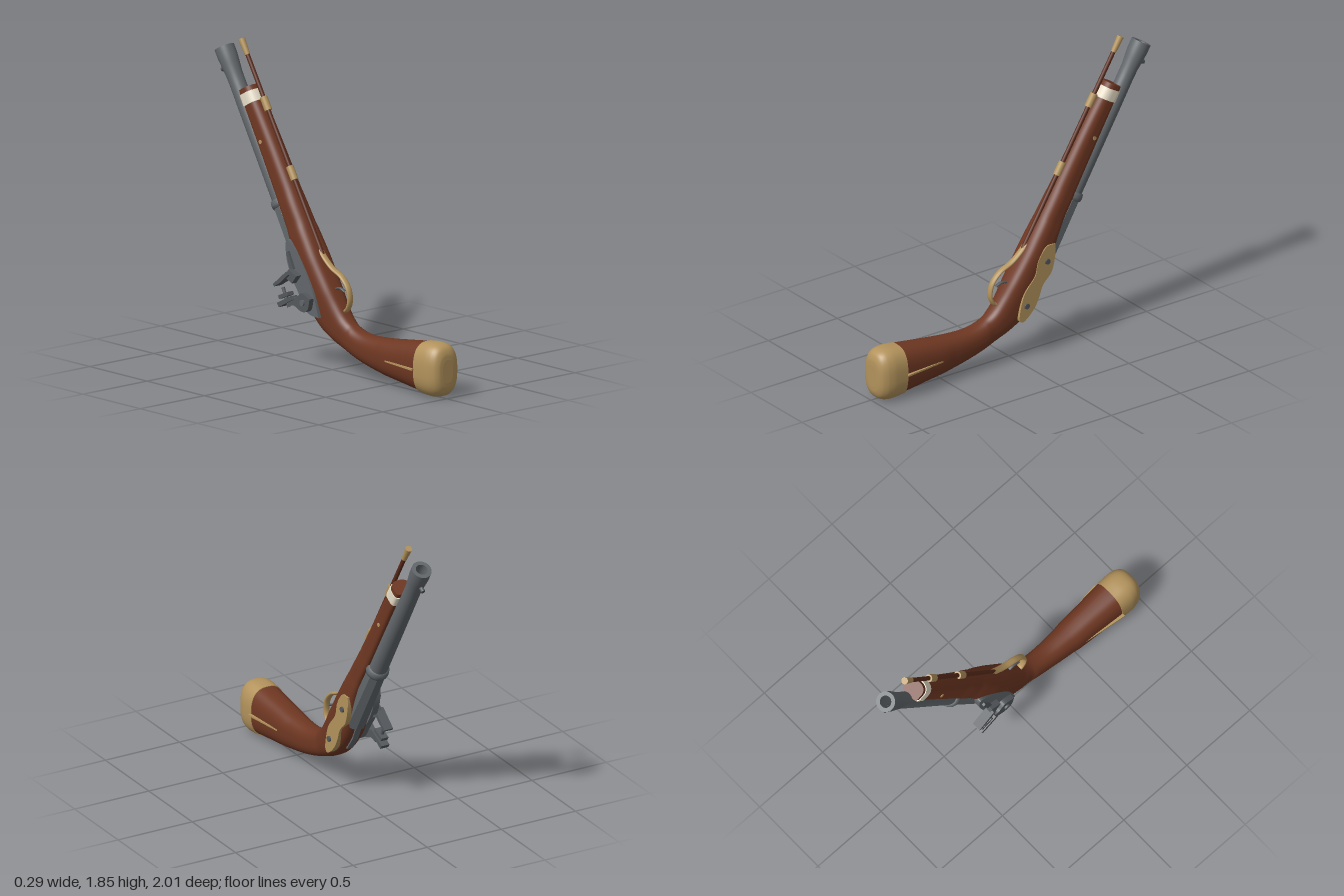
import * as THREE from 'three';

const CX = 0.01;            // centre plane of the stock
const TILT = -Math.PI / 6;  // barrel leans back 30 degrees

function material(name, color, double = false) {
  const m = new THREE.MeshStandardMaterial({ color });
  m.name = name;
  if (double) m.side = THREE.DoubleSide;
  return m;
}

// Point [z, y] from distance s along the barrel and n across it
const P = (s, n) => [-0.5 * s + 0.866 * n, 0.866 * s + 0.5 * n];

// Loft of rounded sections: [upper [z,y], lower [z,y], half width, upper exponent, lower exponent]
function loft(stations, steps, sides = 48) {
  const curve = f => new THREE.CatmullRomCurve3(stations.map(f));
  const up = curve(s => new THREE.Vector3(0, s[0][1], s[0][0]));
  const low = curve(s => new THREE.Vector3(0, s[1][1], s[1][0]));
  const form = curve(s => new THREE.Vector3(s[2], s[3], s[4]));
  const pos = [], idx = [];
  const power = (v, e) => Math.sign(v) * Math.pow(Math.abs(v), 2 / e);
  const ring = i => {
    const u = up.getPoint(i / steps), l = low.getPoint(i / steps), f = form.getPoint(i / steps);
    const c = u.clone().add(l).multiplyScalar(0.5), v = u.clone().sub(l).multiplyScalar(0.5);
    for (let j = 0; j < sides; j++) {
      const a = j / sides * Math.PI * 2, e = Math.sin(a) >= 0 ? f.y : f.z;
      const k = power(Math.sin(a), e);
      pos.push(CX + f.x * power(Math.cos(a), e), c.y + v.y * k, c.z + v.z * k);
    }
    return c;
  };
  for (let i = 0; i <= steps; i++) ring(i);
  for (let i = 0; i < steps; i++) for (let j = 0; j < sides; j++) {
    const j1 = (j + 1) % sides, a = i * sides + j, c = i * sides + j1;
    idx.push(a, a + sides, c, a + sides, c + sides, c);
  }
  // end caps with their own vertices
  for (const end of [0, steps]) {
    const start = pos.length / 3, c = ring(end), mid = pos.length / 3;
    pos.push(CX, c.y, c.z);
    for (let j = 0; j < sides; j++) {
      const a = start + j, b = start + (j + 1) % sides;
      idx.push(mid, ...(end === 0 ? [a, b] : [b, a]));
    }
  }
  const g = new THREE.BufferGeometry();
  g.setAttribute('position', new THREE.Float32BufferAttribute(pos, 3));
  g.setIndex(idx);
  g.computeVertexNormals();
  return g;
}

// Side plate from a [z, y] outline, running from x0 to x1
function plate(points, x0, x1, smooth = false) {
  const v = points.map(([z, y]) => new THREE.Vector2(-z, y));
  const shape = smooth
    ? new THREE.Shape(new THREE.SplineCurve([...v, v[0]]).getPoints(60))
    : new THREE.Shape(v);
  const g = new THREE.ExtrudeGeometry(shape, { depth: x1 - x0, bevelEnabled: false });
  return g.rotateY(Math.PI / 2).translate(x0, 0, 0);
}

function bentRod(points, radius, widen) {
  const path = new THREE.CatmullRomCurve3(points.map(([z, y]) => new THREE.Vector3(0, y, z)));
  return new THREE.TubeGeometry(path, 40, radius, 12).scale(widen, 1, 1).translate(CX, 0, 0);
}

export function createModel() {
  const model = new THREE.Group();
  model.name = 'flintlockPistol';
  const wood = material('wood', 0x6e3722);
  const rodWood = material('dark wood', 0x5c2c1b);
  const brass = material('brass', 0xb3935c);
  const steel = material('steel', 0x62676b, true);
  const lockSteel = material('lock steel', 0x54585c);
  const ivory = material('ivory', 0xe6ddc8);

  const add = (name, geometry, mat, parent = model) => {
    const m = new THREE.Mesh(geometry, mat);
    m.name = name;
    parent.add(m);
    return m;
  };

  // Stock from the butt round the bend to the fore-end
  add('stock', loft([
    [[0.83, 0.315], [0.83, 0.015], 0.111, 2.6, 2.6],
    [[0.65, 0.292], [0.65, 0.035], 0.099, 2.5, 2.5],
    [[0.46, 0.27], [0.46, 0.058], 0.084, 2.4, 2.4],
    [[0.30, 0.267], [0.28, 0.095], 0.071, 2.4, 2.4],
    [[0.20, 0.293], [0.17, 0.13], 0.067, 2.4, 2.4],
    [[0.14, 0.335], [0.03, 0.187], 0.07, 2.6, 2.6],
    [[0.08, 0.41], [-0.07, 0.25], 0.078, 2.8, 2.8],
    [P(0.42, 0.268), P(0.42, 0.035), 0.087, 3, 3],
    [P(0.58, 0.258), P(0.58, 0.05), 0.09, 3, 3.2],
    [P(0.70, 0.253), P(0.70, 0.08), 0.087, 2.7, 4],
    [P(0.85, 0.245), P(0.85, 0.1), 0.077, 2.4, 5],
    [P(1.05, 0.236), P(1.05, 0.1), 0.069, 2.3, 5],
    [P(1.40, 0.222), P(1.40, 0.1), 0.063, 2.3, 5],
    [P(1.72, 0.203), P(1.72, 0.1), 0.06, 2.3, 5],
  ], 91), wood);

  // Rounded brass butt cap
  const capRows = [[1, 0.07, 0.04], [0.996, 0.105, 0.066], [0.98, 0.137, 0.09],
    [0.95, 0.155, 0.107], [0.9, 0.161, 0.115], [0.82, 0.154, 0.114]];
  add('buttCap', loft(capRows.map(([z, h, w]) =>
    [[z, 0.163 + h], [z, 0.163 - h], w, 2.6, 2.6]), 30), brass);

  // Pale band near the fore-end tip
  add('foreEndBand', loft([
    [P(1.62, 0.215), P(1.62, 0.094), 0.066, 2.3, 5],
    [P(1.69, 0.211), P(1.69, 0.094), 0.065, 2.3, 5],
  ], 2), ivory);

  // Thin brass spurs along both sides of the butt
  for (const side of [-1, 1]) {
    const shape = new THREE.Shape([[0.06, -0.52], [0.09, -0.52], [0.13, -0.825], [0.06, -0.825]]
      .map(([x, y]) => new THREE.Vector2(side * x, y)));
    const g = new THREE.ExtrudeGeometry(shape, { depth: 0.01, bevelEnabled: false });
    add(side > 0 ? 'leftButtSpur' : 'rightButtSpur',
      g.rotateX(-Math.PI / 2).translate(CX, 0.157, 0), brass);
  }

  // Brass side plate with two screws
  add('sidePlate', plate([[-0.262, 0.69], [-0.198, 0.688], [-0.14, 0.61], [-0.115, 0.519],
    [-0.037, 0.422], [-0.002, 0.285], [-0.03, 0.25], [-0.10, 0.305], [-0.14, 0.37],
    [-0.172, 0.45], [-0.235, 0.52], [-0.262, 0.626]], 0.06, 0.104, true), brass);
  for (const [z, y] of [[-0.203, 0.594], [-0.053, 0.348]]) {
    add('sidePlateScrew', new THREE.CylinderGeometry(0.017, 0.019, 0.03, 16)
      .rotateZ(-Math.PI / 2).translate(0.099, y, z), lockSteel);
  }

  // Trigger guard and trigger
  add('triggerGuard', bentRod([[-0.13, 0.71], [-0.07, 0.65], [-0.01, 0.605], [0.075, 0.565],
    [0.13, 0.505], [0.143, 0.43], [0.12, 0.38], [0.07, 0.35]], 0.011, 1.9), brass);
  add('trigger', bentRod([[-0.02, 0.46], [0.02, 0.487], [0.06, 0.497], [0.1, 0.483]], 0.007, 1.6), lockSteel);

  // Lock on the right side: plate, pan, frizzen, cock and jaws
  const lock = new THREE.Group();
  lock.name = 'lock';
  model.add(lock);
  add('lockPlate', plate([[-0.02, 0.32], [-0.12, 0.34], [-0.2, 0.45], [-0.25, 0.52],
    [-0.295, 0.62], [-0.305, 0.72], [-0.28, 0.74], [-0.2, 0.66], [-0.12, 0.55],
    [-0.06, 0.44]], -0.092, -0.05, true), steel, lock);
  add('pan', plate([[-0.17, 0.55], [-0.21, 0.5], [-0.27, 0.53], [-0.24, 0.58]], -0.13, -0.07), lockSteel, lock);
  add('frizzen', plate([[-0.225, 0.55], [-0.24, 0.568], [-0.3, 0.52], [-0.355, 0.475],
    [-0.345, 0.462], [-0.29, 0.495]], -0.148, -0.09), lockSteel, lock);
  add('frizzenSpring', plate([[-0.22, 0.58], [-0.25, 0.575], [-0.285, 0.67], [-0.27, 0.68]],
    -0.108, -0.08), lockSteel, lock);
  add('cock', plate([[-0.06, 0.43], [-0.08, 0.36], [-0.13, 0.345], [-0.2, 0.37], [-0.25, 0.36],
    [-0.24, 0.41], [-0.18, 0.42], [-0.13, 0.455]], -0.125, -0.09, true), lockSteel, lock);
  add('lowerJaw', plate([[-0.2, 0.405], [-0.215, 0.425], [-0.33, 0.365], [-0.315, 0.342]],
    -0.138, -0.085), lockSteel, lock);
  add('upperJaw', plate([[-0.235, 0.425], [-0.245, 0.445], [-0.325, 0.41], [-0.315, 0.39]],
    -0.135, -0.088), lockSteel, lock);
  add('jawScrew', new THREE.CylinderGeometry(0.01, 0.01, 0.12, 12)
    .rotateX(-0.44).translate(-0.112, 0.405, -0.28), lockSteel, lock);
  add('cockScrew', new THREE.CylinderGeometry(0.018, 0.018, 0.02, 16)
    .rotateZ(Math.PI / 2).translate(-0.125, 0.4, -0.12), steel, lock);

  // Tang strip behind the breech
  add('tang', plate([[-0.258, 0.52], [-0.19, 0.378], [-0.125, 0.292], [-0.1, 0.31],
    [-0.18, 0.42], [-0.2, 0.53]], CX - 0.02, CX + 0.02), steel);

  // Everything lying along the barrel: y runs to the muzzle, z to the ramrod
  const fore = new THREE.Group();
  fore.name = 'barrelAssembly';
  fore.position.x = CX;
  fore.rotation.x = TILT;
  model.add(fore);

  const barrel = new THREE.Group();
  barrel.name = 'barrel';
  barrel.position.z = 0.095;
  barrel.rotation.x = -0.02;
  fore.add(barrel);
  const profile = [[0.055, 1.0], [0.053, 1.3], [0.051, 1.6], [0.049, 1.78], [0.05, 1.84],
    [0.056, 1.9], [0.06, 1.95], [0.06, 2.005]].map(p => new THREE.Vector2(...p));
  add('roundBarrel', new THREE.LatheGeometry(profile, 36), steel, barrel);
  const bore = [[0.06, 2.005], [0.036, 2.005]].map(p => new THREE.Vector2(...p));
  add('muzzleFace', new THREE.LatheGeometry(bore, 36), steel, barrel);
  add('bore', new THREE.LatheGeometry([[0.036, 2.005], [0.036, 1.75], [0, 1.75]]
    .map(p => new THREE.Vector2(...p)), 36), steel, barrel);
  add('barrelRing', new THREE.LatheGeometry([[0.05, 0.995], [0.065, 1.0], [0.069, 1.02],
    [0.065, 1.045], [0.053, 1.05]].map(p => new THREE.Vector2(...p)), 36), steel, barrel);
  const octagon = new THREE.CylinderGeometry(0.061, 0.069, 0.49, 8).rotateY(Math.PI / 8)
    .translate(0, 0.765, 0).toNonIndexed();
  octagon.computeVertexNormals();
  add('octagonalBreech', octagon, steel, barrel);
  add('frontSight', new THREE.CylinderGeometry(0.013, 0.013, 0.05, 12)
    .rotateX(Math.PI / 2).translate(0, 1.897, -0.06), lockSteel, barrel);

  // Ramrod with brass tip and two thimbles
  const ramrod = new THREE.Group();
  ramrod.name = 'ramrod';
  ramrod.position.z = 0.268;
  ramrod.rotation.x = -0.0225;
  fore.add(ramrod);
  add('rod', new THREE.CylinderGeometry(0.013, 0.013, 1.3, 16).translate(0, 1.27, 0), rodWood, ramrod);
  add('rodTip', new THREE.CylinderGeometry(0.021, 0.016, 0.1, 20).translate(0, 1.945, 0), brass, ramrod);
  for (const s of [1.585, 1.145]) {
    add('thimble', new THREE.CylinderGeometry(0.023, 0.023, 0.085, 20).translate(0, s, 0), brass, ramrod);
  }

  // Cross pin through the fore-end
  add('crossPin', new THREE.CylinderGeometry(0.012, 0.012, 0.136, 14)
    .rotateZ(Math.PI / 2).translate(0, 1.386, 0.145), brass, fore);

  return model;
}
